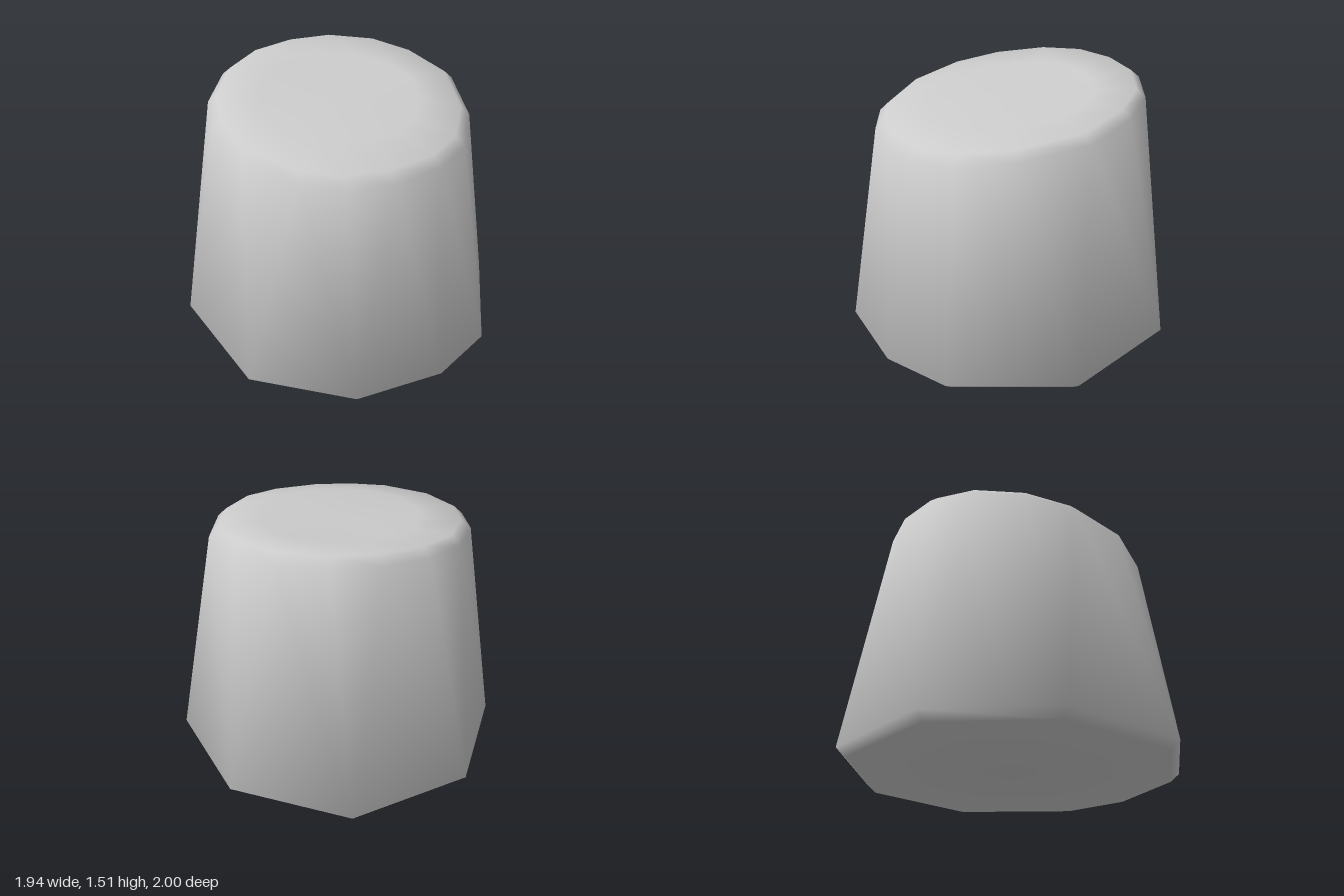
import * as THREE from 'three';

// Corners [x, z] of the irregular nine-sided foot, counted from the front towards +x
const FOOT = [
  [-0.14, 1.0], [0.38, 0.91], [0.72, 0.66], [0.97, -0.04], [0.67, -0.71],
  [-0.01, -1.0], [-0.70, -0.71], [-0.97, -0.03], [-0.70, 0.71],
];

// Corners [x, z] of the rounder rim
const RIM = [
  [-0.14, 0.78], [0.10, 0.78], [0.37, 0.69], [0.56, 0.53], [0.69, 0.24],
  [0.72, -0.16], [0.57, -0.46], [0.37, -0.65], [0.09, -0.75], [-0.18, -0.73],
  [-0.43, -0.63], [-0.62, -0.44], [-0.74, -0.15], [-0.75, 0.14], [-0.63, 0.46],
  [-0.38, 0.70],
];

// Scaled copy of an outline on a plane that rises towards the back
const ring = (outline, scale, y, slope = 0) => outline.map(([x, z]) =>
  new THREE.Vector3(x * scale, y - slope * z * scale, z * scale));

// Angle of a ring's corner around the axis, running on past a full turn
function turn(r, i) {
  const p = r[i % r.length], full = Math.PI * 2;
  const a = (Math.atan2(p.x, p.z) + 0.3 + full) % full;
  return a + (i >= r.length ? full : 0);
}

// Triangles between two rings that may differ in corner count or be one point
function stitch(lower, upper) {
  const n = lower.length > 1 ? lower.length : 0;
  const m = upper.length > 1 ? upper.length : 0;
  const low = (i) => lower[i % lower.length];
  const up = (j) => upper[j % upper.length];
  const faces = [];
  let i = 0, j = 0;
  while (i < n || j < m) {
    const stepLow = i < n && (j === m ||
      turn(lower, i) + turn(lower, i + 1) <= turn(upper, j) + turn(upper, j + 1));
    if (stepLow) {
      faces.push([low(i), low(i + 1), up(j)]);
      i++;
    } else {
      faces.push([low(i), up(j + 1), up(j)]);
      j++;
    }
  }
  return faces;
}

// Closed smooth skin through a stack of rings, every face weighing the same
function skin(rings) {
  const faces = rings.slice(1).flatMap((r, k) => stitch(rings[k], r));
  const normals = new Map(rings.flat().map((p) => [p, new THREE.Vector3()]));
  faces.forEach(([a, b, c]) => {
    const flat = new THREE.Triangle(a, b, c).getNormal(new THREE.Vector3());
    [a, b, c].forEach((p) => normals.get(p).add(flat));
  });
  normals.forEach((v) => v.normalize());
  const points = faces.flat();
  const g = new THREE.BufferGeometry().setFromPoints(points);
  g.setAttribute('normal', new THREE.Float32BufferAttribute(
    points.flatMap((p) => normals.get(p).toArray()), 3));
  return g;
}

export function createModel() {
  const group = new THREE.Group();
  group.name = 'stump';
  const grey = new THREE.MeshStandardMaterial({ color: 0xcccccc });
  grey.name = 'grey';

  // Tapered body: bevelled foot, straight wall, bevelled rim and slanted top
  const body = new THREE.Mesh(skin([
    [new THREE.Vector3(0, 0, 0)],
    ring(FOOT, 0.945, 0),
    ring(FOOT, 1, 0.05),
    ring(RIM, 1, 1.37, 0.13),
    ring(RIM, 0.93, 1.42, 0.135),
    ring(RIM, 0.62, 1.432, 0.108),
    [new THREE.Vector3(0, 1.43, 0)],
  ]), grey);
  body.name = 'body';
  group.add(body);
  return group;
}
